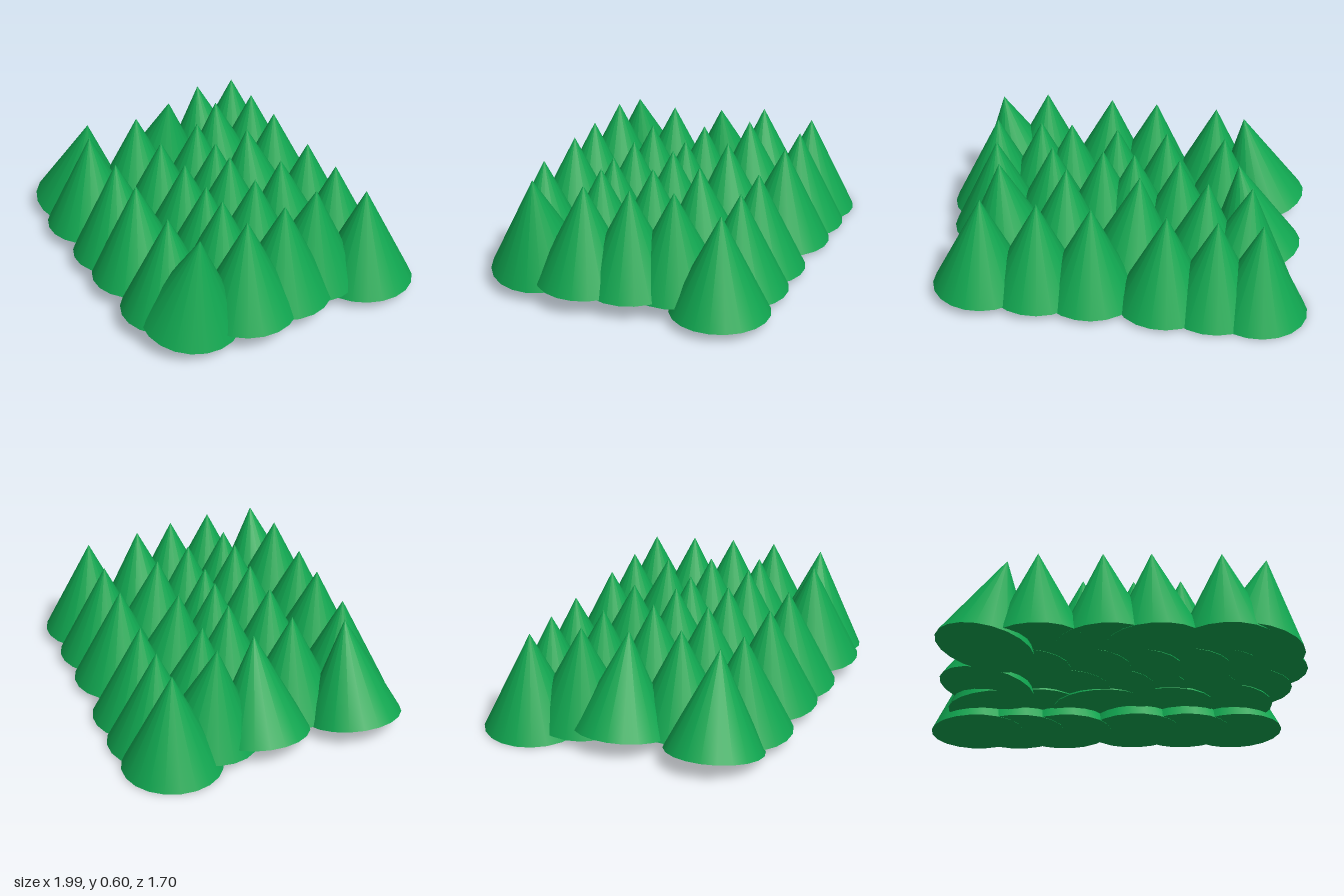
import * as THREE from 'three';

const RADIUS = 0.25;
const HEIGHT = 0.5;
const UP = new THREE.Vector3(0, 1, 0);

// Each row runs from right (-x) to left (+x): [base x, base z, lean in x, lean in z]
const ROWS = [
  { name: 'backRow', y: 0.035, rise: 0.028, trees: [
    [-0.65, -0.60, -0.01, 0], [-0.43, -0.57, -0.01, 0], [-0.18, -0.53, -0.01, 0],
    [0.19, -0.46, -0.01, 0], [0.46, -0.42, -0.01, 0], [0.74, -0.38, -0.01, 0]] },
  { name: 'secondRow', y: 0.09, rise: 0.03, trees: [
    [-0.59, -0.36, -0.04, 0.02], [-0.39, -0.32, -0.02, 0.02], [-0.04, -0.27, -0.03, 0.02],
    [0.31, -0.2, -0.01, 0.02], [0.61, -0.13, 0.03, 0]] },
  { name: 'middleRow', y: 0.09, rise: 0.03, trees: [
    [-0.67, -0.12, 0.09, 0.01], [-0.28, -0.08, 0, 0], [-0.05, -0.03, 0, 0],
    [0.11, 0, 0, 0], [0.37, 0.04, 0, 0], [0.65, 0.085, 0.01, 0]] },
  { name: 'fourthRow', y: 0.09, rise: 0.03, trees: [
    [-0.53, 0.14, 0, 0], [-0.23, 0.19, 0, 0], [0.03, 0.225, 0, 0],
    [0.27, 0.27, 0, 0], [0.43, 0.29, 0, 0], [0.66, 0.315, 0, 0]] },
  { name: 'frontRow', y: 0.09, rise: 0.03, trees: [
    [-0.75, 0.37, 0.1, 0], [-0.5, 0.45, -0.01, 0], [-0.17, 0.5, -0.02, 0],
    [0.07, 0.54, -0.02, 0], [0.41, 0.595, -0.01, 0], [0.56, 0.58, 0.08, 0]] },
];

export function createModel() {
  const model = new THREE.Group();
  model.name = 'treeCluster';
  const foliage = new THREE.MeshStandardMaterial({ color: 0x10a650 });

  // One cone with its base centre at the origin, shared by every tree
  const cone = new THREE.ConeGeometry(RADIUS, HEIGHT, 20);
  cone.translate(0, HEIGHT / 2, 0);

  for (const row of ROWS) {
    const group = new THREE.Group();
    group.name = row.name;
    for (const [x, z, leanX, leanZ] of row.trees) {
      const tree = new THREE.Mesh(cone, foliage);
      tree.name = 'coneTree';
      // The ground climbs gently towards +x
      tree.position.set(x, row.y + row.rise * x, z);
      // Lean the axis towards the tip
      const axis = new THREE.Vector3(leanX, HEIGHT, leanZ).normalize();
      tree.quaternion.setFromUnitVectors(UP, axis);
      group.add(tree);
    }
    model.add(group);
  }
  return model;
}
